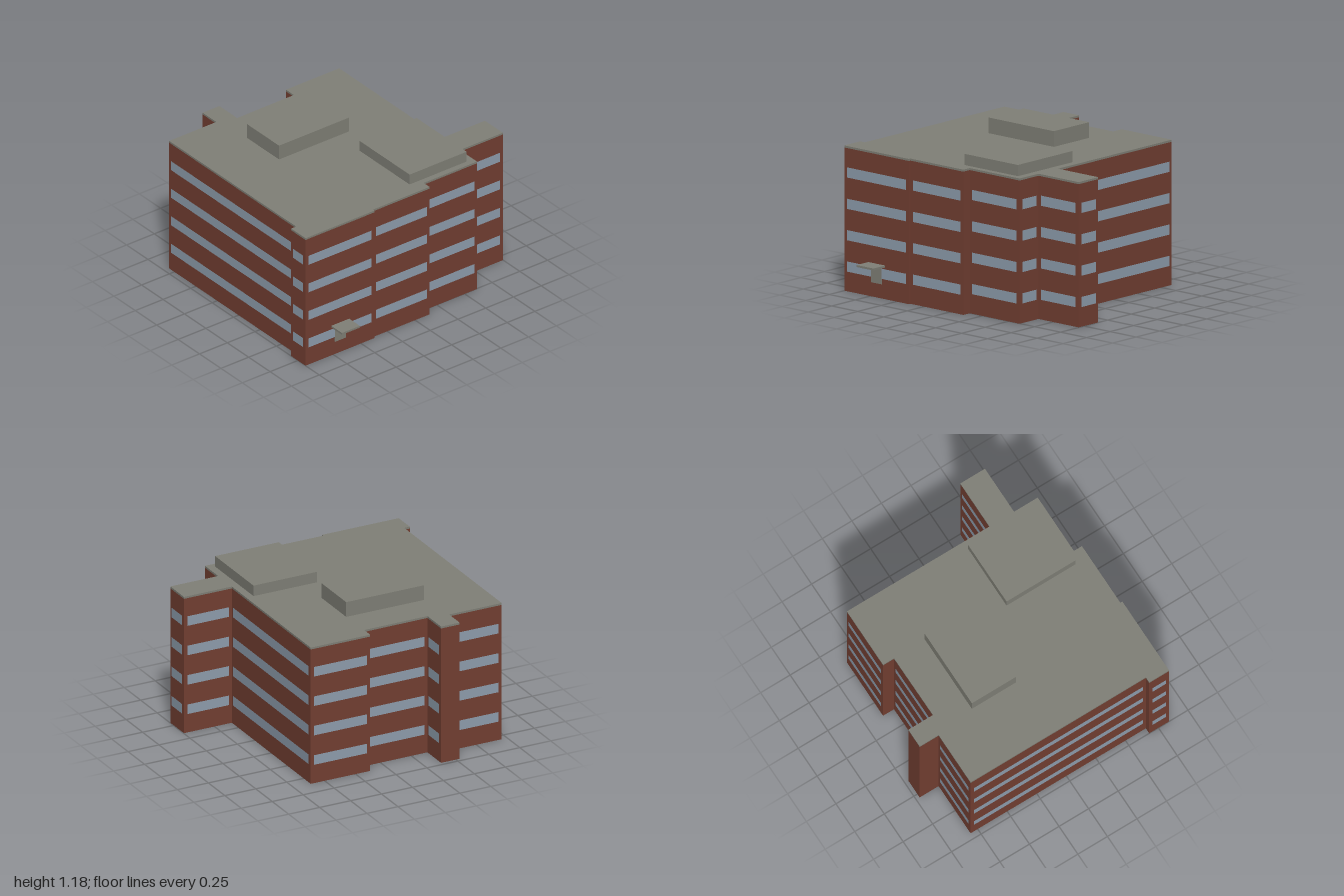
import * as THREE from 'three';

// Footprint corners (x, z), clockwise seen from above
const OUTLINE = [
  [-0.955, -0.81], [-0.53, -0.81], [-0.53, -0.97], [-0.38, -0.97], [-0.38, -0.762],
  [0.133, -0.765], [0.133, -0.857], [0.613, -0.857], [0.61, 0.347], [0.997, 0.347],
  [0.997, 0.555], [0.61, 0.555], [0.61, 0.755], [0.13, 0.755], [0.13, 0.823],
  [-0.38, 0.823], [-0.38, 0.84], [-1, 0.84], [-1, 0.672], [-0.955, 0.672],
];
const WALL_TOP = 1.05, ROOF_TOP = 1.065;
const WINDOW_ROWS = [0.182, 0.412, 0.642, 0.872];
const WINDOW_HEIGHT = 0.075, WINDOW_MARGIN = 0.026, MIN_WINDOW_WALL = 0.165;

function material(name, color, side = THREE.FrontSide) {
  const m = new THREE.MeshStandardMaterial({ color, side });
  m.name = name;
  return m;
}

export function createModel() {
  const brick = material('brick', 0x733f32, THREE.DoubleSide);
  const glass = material('glass', 0x8f9eae);
  const concrete = material('concrete', 0x808077);

  const model = new THREE.Group();
  model.name = 'officeBuilding';

  function add(parent, name, geometry, mat, x = 0, y = 0, z = 0) {
    const mesh = new THREE.Mesh(geometry, mat);
    mesh.name = name;
    mesh.position.set(x, y, z);
    parent.add(mesh);
    return mesh;
  }

  function addBlock(name, x0, x1, y0, y1, z0, z1) {
    add(model, name, new THREE.BoxGeometry(x1 - x0, y1 - y0, z1 - z0), concrete,
      (x0 + x1) / 2, (y0 + y1) / 2, (z0 + z1) / 2);
  }

  // Brick walls, open at the bottom, with ribbon windows on the wider ones
  OUTLINE.forEach(([x0, z0], i) => {
    const [x1, z1] = OUTLINE[(i + 1) % OUTLINE.length];
    const dx = x1 - x0, dz = z1 - z0, length = Math.hypot(dx, dz);
    const bay = new THREE.Group();
    bay.name = 'wallBay';
    bay.position.set((x0 + x1) / 2, 0, (z0 + z1) / 2);
    bay.rotation.y = Math.atan2(dz, -dx);
    model.add(bay);
    add(bay, 'wall', new THREE.PlaneGeometry(length, WALL_TOP), brick, 0, WALL_TOP / 2, 0);
    if (length < MIN_WINDOW_WALL) return;
    for (const y of WINDOW_ROWS) {
      add(bay, 'ribbonWindow',
        new THREE.PlaneGeometry(length - 2 * WINDOW_MARGIN, WINDOW_HEIGHT), glass, 0, y, 0.003);
    }
  });

  // Flat roof slab following the footprint
  const shape = new THREE.Shape(OUTLINE.map(([x, z]) => new THREE.Vector2(x, -z)));
  const slab = new THREE.ExtrudeGeometry(shape, { depth: ROOF_TOP - WALL_TOP, bevelEnabled: false });
  slab.rotateX(-Math.PI / 2);
  add(model, 'roofSlab', slab, concrete, 0, WALL_TOP, 0);

  // Rooftop plant rooms
  addBlock('rearPlantRoom', -0.49, 0.138, ROOF_TOP, 1.18, -0.503, -0.13);
  addBlock('frontPlantRoom', 0.038, 0.552, ROOF_TOP, 1.147, 0.127, 0.71);

  // Entrance door and canopy
  addBlock('entranceDoor', -0.738, -0.638, 0.105, 0.225, 0.838, 0.846);
  addBlock('entranceCanopy', -0.768, -0.607, 0.232, 0.247, 0.836, 0.965);

  return model;
}
